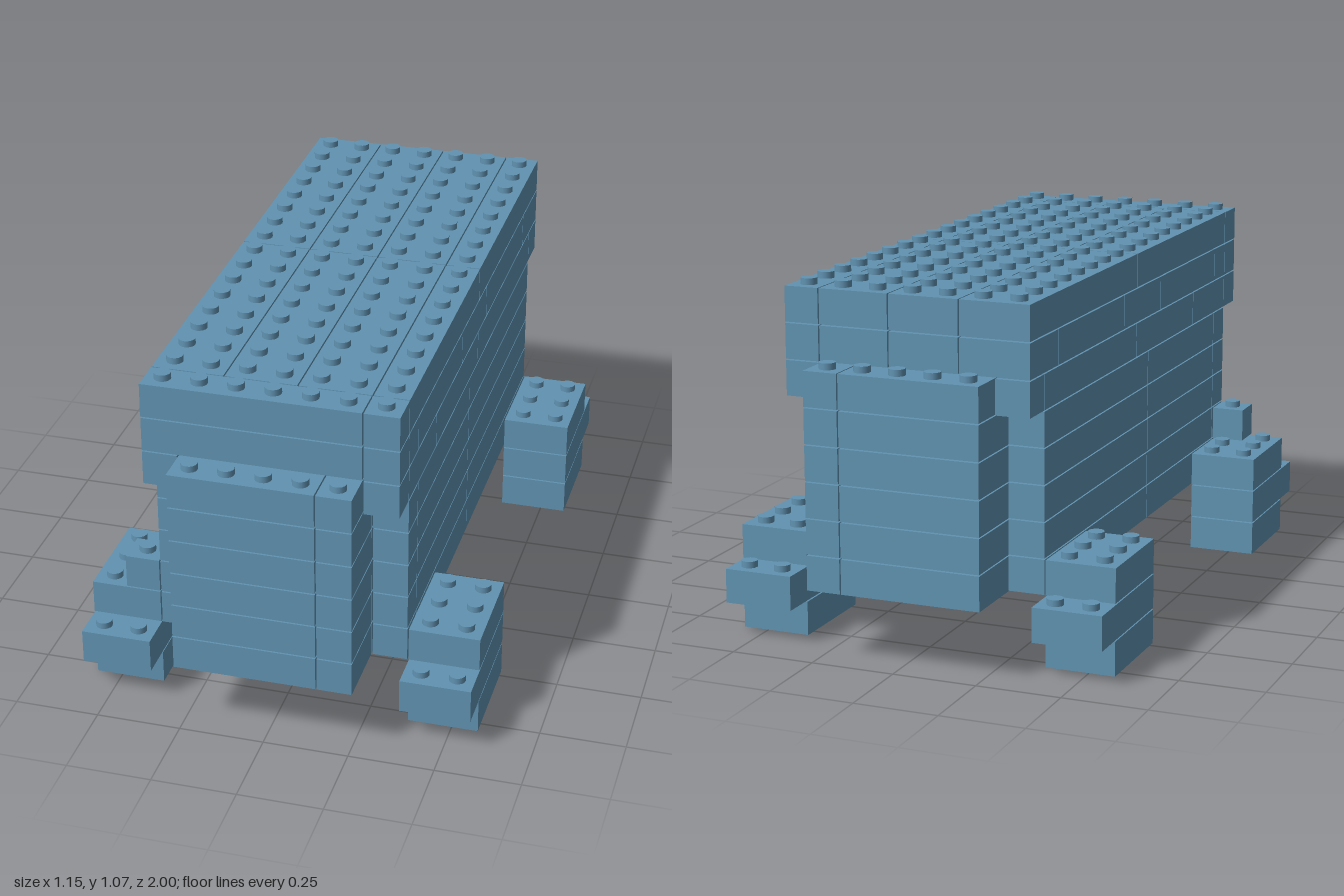
import * as THREE from 'three';
import { mergeGeometries } from 'three/addons/utils/BufferGeometryUtils.js';

const U = 2 / 19;       // one stud pitch, also one layer height
const GAP = 0.004;      // seam between bricks
const STUD_R = 0.024, STUD_H = 0.017;

export function createModel() {
  const model = new THREE.Group();
  model.name = 'brickModel';
  const blue = new THREE.MeshStandardMaterial({ color: 0x6193b2 });
  blue.name = 'sand blue';

  // Brick between grid lines, on a given layer
  const brick = (x0, x1, layer, z0, z1) =>
    new THREE.BoxGeometry((x1 - x0) * U - GAP, U - GAP, (z1 - z0) * U - GAP)
      .translate((x0 + x1) / 2 * U, (layer + 0.5) * U, (z0 + z1) / 2 * U);

  // Rectangle of studs on top of a layer
  const studs = (x0, x1, layer, z0, z1, skip = () => false) => {
    const list = [];
    for (let x = x0 + 0.5; x < x1; x++) {
      for (let z = z0 + 0.5; z < z1; z++) {
        if (skip(x, z)) continue;
        list.push(new THREE.CylinderGeometry(STUD_R, STUD_R, STUD_H + GAP, 16)
          .translate(x * U, (layer + 1) * U + (STUD_H - GAP) / 2, z * U));
      }
    }
    return list;
  };

  const add = (name, parts) => {
    const mesh = new THREE.Mesh(mergeGeometries(parts), blue);
    mesh.name = name;
    model.add(mesh);
  };

  // Rows of bricks split at the given x and z grid lines
  const wall = (xs, layer, zs) => {
    const list = [];
    for (let i = 0; i + 1 < xs.length; i++) {
      for (let j = 0; j + 1 < zs.length; j++) {
        list.push(brick(xs[i], xs[i + 1], layer, zs[j], zs[j + 1]));
      }
    }
    return list;
  };

  const columns = [-3.5, -1.5, 0.5, 2.5, 3.5];

  // Main body
  const body = [];
  for (let layer = 2; layer <= 6; layer++) {
    body.push(...wall(columns, layer, [-7.5, 0.5, 6.5, 7.5]));
  }
  body.push(...wall(columns, 7, [-7.5, -0.5, 4.5, 7.5]));
  add('body', body);

  // Projecting blocks at both ends, with a stud row on top
  for (const s of [1, -1]) {
    const z0 = s > 0 ? 7.5 : -9.5, z1 = z0 + 2;
    const end = [];
    for (let layer = 2; layer <= 7; layer++) {
      end.push(...wall([-2.5, 1.5, 2.5], layer, [z0, z1]));
    }
    const row = s > 0 ? 8.5 : -9.5;
    end.push(...studs(-2.5, 2.5, 7, row, row + 1));
    add(s > 0 ? 'frontBlock' : 'backBlock', end);

    // Corner bricks hanging under the roof
    const c0 = s > 0 ? 7.5 : -8.5;
    add(s > 0 ? 'frontCorners' : 'backCorners', [
      brick(-3.5, -2.5, 7, c0, c0 + 1),
      brick(2.5, 3.5, 7, c0, c0 + 1),
    ]);
  }

  // Two-layer roof slab
  add('roof', [
    ...wall(columns, 8, [-8.5, -6.5, -1.5, 1.5, 6.5, 7.5]),
    ...wall([-3.5, 2.5, 3.5], 8, [7.5, 8.5]),
    ...wall(columns, 9, [-8.5, -0.5, 7.5]),
    ...wall([-3.5, 2.5, 3.5], 9, [7.5, 8.5]),
  ]);
  add('roofStuds', studs(-3.5, 3.5, 9, -8.5, 8.5));

  // Four feet, each with a longer middle brick
  for (const sx of [1, -1]) {
    for (const sz of [1, -1]) {
      const x0 = sx > 0 ? 3.5 : -5.5, x1 = x0 + 2;
      const span = (a, b) => (sz > 0 ? [a, b] : [-b, -a]);
      const covered = (x, z) => x === -4 && z === 7;
      add((sz > 0 ? 'front' : 'back') + (sx > 0 ? 'Left' : 'Right') + 'Foot', [
        brick(x0, x1, 0, ...span(4.5, 7.5)),
        brick(x0, x1, 1, ...span(4.5, 8.5)),
        brick(x0, x1, 2, ...span(4.5, 7.5)),
        ...studs(x0, x1, 1, ...span(7.5, 8.5)),
        ...studs(x0, x1, 2, ...span(4.5, 7.5), covered),
      ]);
    }
  }

  // Single brick tying the front right foot to the body
  add('tieBrick', [brick(-4.5, -3.5, 3, 6.5, 7.5), ...studs(-4.5, -3.5, 3, 6.5, 7.5)]);

  return model;
}
